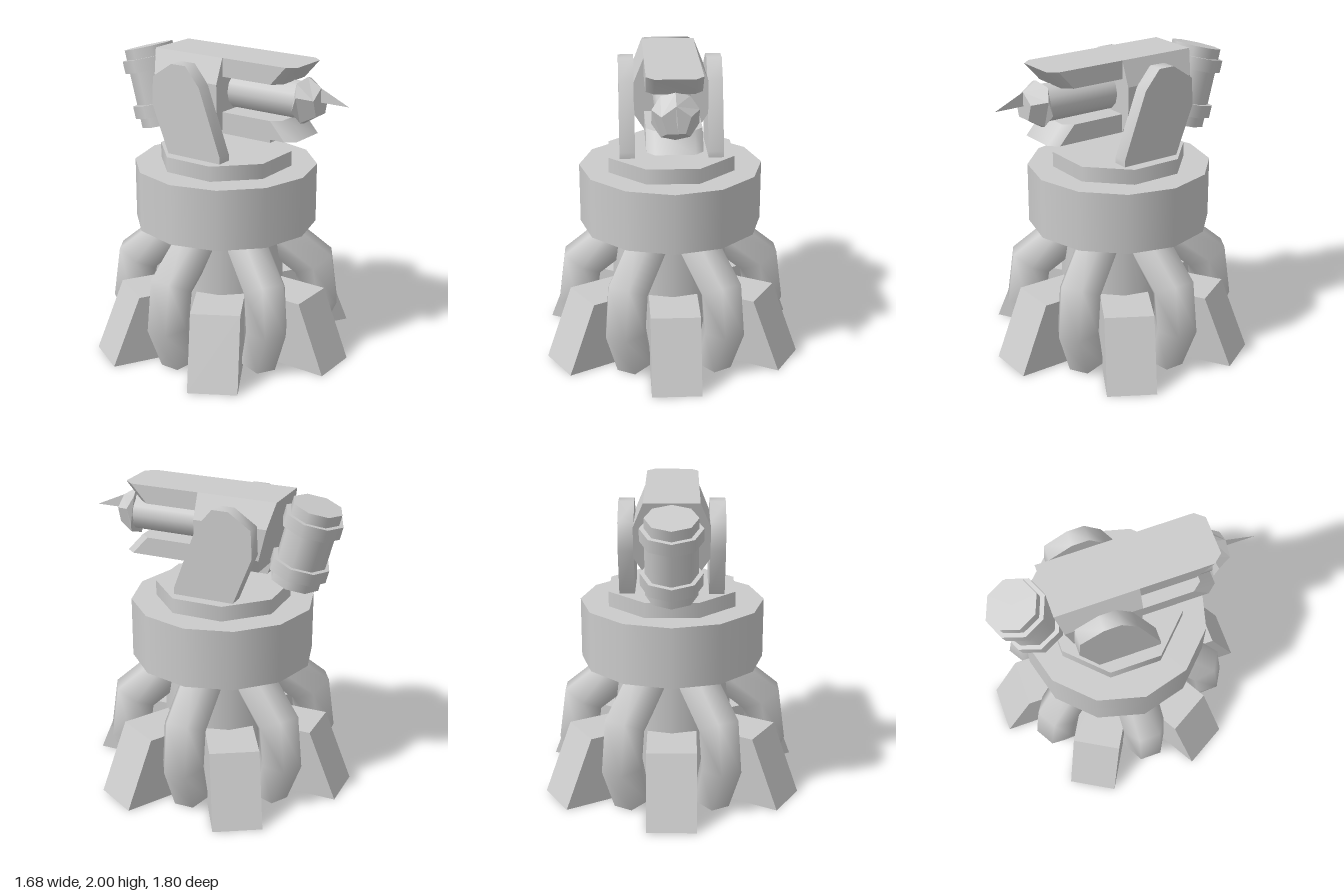
import * as THREE from 'three';
import { toCreasedNormals } from 'three/addons/utils/BufferGeometryUtils.js';

const smooth = new THREE.MeshStandardMaterial({ color: 0xcccccc });
const flat = new THREE.MeshStandardMaterial({ color: 0xcccccc, flatShading: true });
const open = new THREE.MeshStandardMaterial({ color: 0xcccccc, side: THREE.DoubleSide });

function add(parent, name, geometry, mat = flat) {
  const mesh = new THREE.Mesh(geometry, mat);
  mesh.name = name;
  parent.add(mesh);
  return mesh;
}

function extrude(points, depth) {
  const shape = new THREE.Shape(points.map(([a, b]) => new THREE.Vector2(a, b)));
  return new THREE.ExtrudeGeometry(shape, { depth, bevelEnabled: false });
}

// Move every vertex by a rule
function bend(geometry, rule) {
  const p = geometry.attributes.position;
  const v = new THREE.Vector3();
  for (let i = 0; i < p.count; i++) {
    rule(v.fromBufferAttribute(p, i));
    p.setXYZ(i, v.x, v.y, v.z);
  }
  geometry.computeVertexNormals();
  return geometry;
}

// Open six-sided pipe along [x, y, radius] points, mitred at each bend
function mitredPipe(path, sides = 6) {
  const pts = path.map(([x, y]) => new THREE.Vector2(x, y));
  const position = [], index = [];
  pts.forEach((p, i) => {
    const radius = path[i][2];
    const before = p.clone().sub(pts[Math.max(i - 1, 0)]).normalize();
    const after = pts[Math.min(i + 1, pts.length - 1)].clone().sub(p).normalize();
    const t = before.clone().add(after).normalize();
    const stretch = 1 / Math.max(t.dot(before), t.dot(after));
    for (let k = 0; k < sides; k++) {
      const a = ((k + 0.5) / sides) * Math.PI * 2;
      const c = Math.cos(a) * radius * stretch;
      position.push(p.x - t.y * c, p.y + t.x * c, Math.sin(a) * radius);
      if (i === 0) continue;
      const n = (k + 1) % sides, lo = (i - 1) * sides, hi = i * sides;
      index.push(lo + k, lo + n, hi + k, lo + n, hi + n, hi + k);
    }
  });
  const g = new THREE.BufferGeometry();
  g.setAttribute('position', new THREE.Float32BufferAttribute(position, 3));
  g.setIndex(index);
  g.computeVertexNormals();
  return g;
}

function createBase() {
  const base = new THREE.Group();
  base.name = 'base';
  base.position.z = -0.02;

  add(base, 'column', new THREE.CylinderGeometry(0.39, 0.39, 0.87, 12, 1, true).translate(0, 0.435, 0), open);
  add(base, 'drum', new THREE.CylinderGeometry(0.605, 0.605, 0.4, 12).translate(0, 1.06, 0), smooth);
  add(base, 'turntable', new THREE.CylinderGeometry(0.443, 0.443, 0.1, 8).rotateY(Math.PI / 8).translate(0, 1.31, 0), smooth);

  // Three crossing bars, hollow underneath, form the six sloped feet
  const box = new THREE.BoxGeometry(0.32, 0.46, 1.76).translate(0, 0.23, 0);
  const underside = box.groups[3];
  box.setIndex([...box.index.array].filter((_, i) => i < underside.start || i >= underside.start + underside.count));
  box.clearGroups();
  const foot = bend(box, (v) => { if (v.y > 0.2) v.z *= 0.785; });
  for (let i = 0; i < 3; i++) add(base, 'footBar', foot, open).rotation.y = (i * Math.PI) / 3;

  // Bent pipes between the feet
  const pipe = mitredPipe([[0.2, 0.89, 0.145], [0.6, 0.57, 0.145], [0.635, 0.31, 0.145], [0.53, 0.04, 0.13]]);
  for (let i = 0; i < 6; i++) add(base, 'pipe', pipe, open).rotation.y = (i * Math.PI) / 3;
  return base;
}

function createGun() {
  const gun = new THREE.Group();
  gun.name = 'gun';

  // Side brackets with softly shaded rims, from a [z, y] profile
  const bracket = toCreasedNormals(extrude([
    [0.175, 1.36], [-0.235, 1.36], [-0.36, 1.675], [-0.35, 1.855],
    [-0.2, 1.955], [-0.09, 1.955], [0.015, 1.83], [0.175, 1.4],
  ], 0.1).translate(0, 0, -0.05).rotateY(-Math.PI / 2), 1);
  for (const side of [-1, 1]) add(gun, 'bracket', bracket, smooth).position.x = side * 0.287;

  // Body with chamfered edges and a sloped back
  const body = extrude([
    [-0.175, 1.53], [0.175, 1.53], [0.24, 1.63], [0.24, 1.84],
    [0.175, 2], [-0.175, 2], [-0.24, 1.84], [-0.24, 1.63],
  ], 1);
  bend(body, (v) => { v.z = v.z > 0.5 ? 0.08 : -0.34 - (v.y - 1.53) * 0.24; });
  add(gun, 'body', body);

  // Upper and lower prongs, undercut at the front
  const plan = extrude([
    [-0.175, -0.2], [0.175, -0.2], [0.175, 0.55], [0.125, 0.61], [-0.125, 0.61], [-0.175, 0.55],
  ], 0.12).rotateX(Math.PI / 2).translate(0, 2, 0);
  bend(plan, (v) => { if (v.z > 0.3) v.z -= (2 - v.y) * 0.9; });
  const prong = toCreasedNormals(plan, 0.8);
  add(gun, 'upperProng', prong, smooth);
  add(gun, 'lowerProng', prong.clone().rotateZ(Math.PI).translate(0, 3.53, 0), smooth);

  // Barrel
  add(gun, 'barrel', new THREE.CylinderGeometry(0.12, 0.12, 0.55, 12).rotateX(Math.PI / 2).translate(0, 1.767, 0.325), smooth);

  // Nozzle: twelve-faced solid, one face forward, cut flat at the back
  const nozzle = new THREE.DodecahedronGeometry(0.155)
    .rotateY(-Math.atan(2 / (1 + Math.sqrt(5)))).rotateZ(Math.PI / 2).translate(0, 1.767, 0.577);
  add(gun, 'nozzle', bend(nozzle, (v) => { v.z = Math.max(v.z, 0.577); }));

  // Thin upright blade at the muzzle
  const blade = new THREE.ShapeGeometry(new THREE.Shape([
    new THREE.Vector2(0.69, 1.77), new THREE.Vector2(0.9, 1.77), new THREE.Vector2(0.69, 1.865),
  ])).rotateY(-Math.PI / 2);
  add(gun, 'blade', blade, open);

  // Tilted canister with two bands
  const canister = new THREE.Group();
  canister.name = 'canister';
  canister.position.set(0, 1.7, -0.588);
  canister.rotation.x = -0.262;
  add(canister, 'tank', new THREE.CylinderGeometry(0.165, 0.165, 0.535, 8), smooth);
  for (const side of [-1, 1]) {
    add(canister, 'band', new THREE.CylinderGeometry(0.195, 0.195, 0.085, 8), smooth).position.y = side * 0.155;
  }
  gun.add(canister);
  return gun;
}

export function createModel() {
  const model = new THREE.Group();
  model.name = 'turret';
  model.add(createBase(), createGun());
  return model;
}
